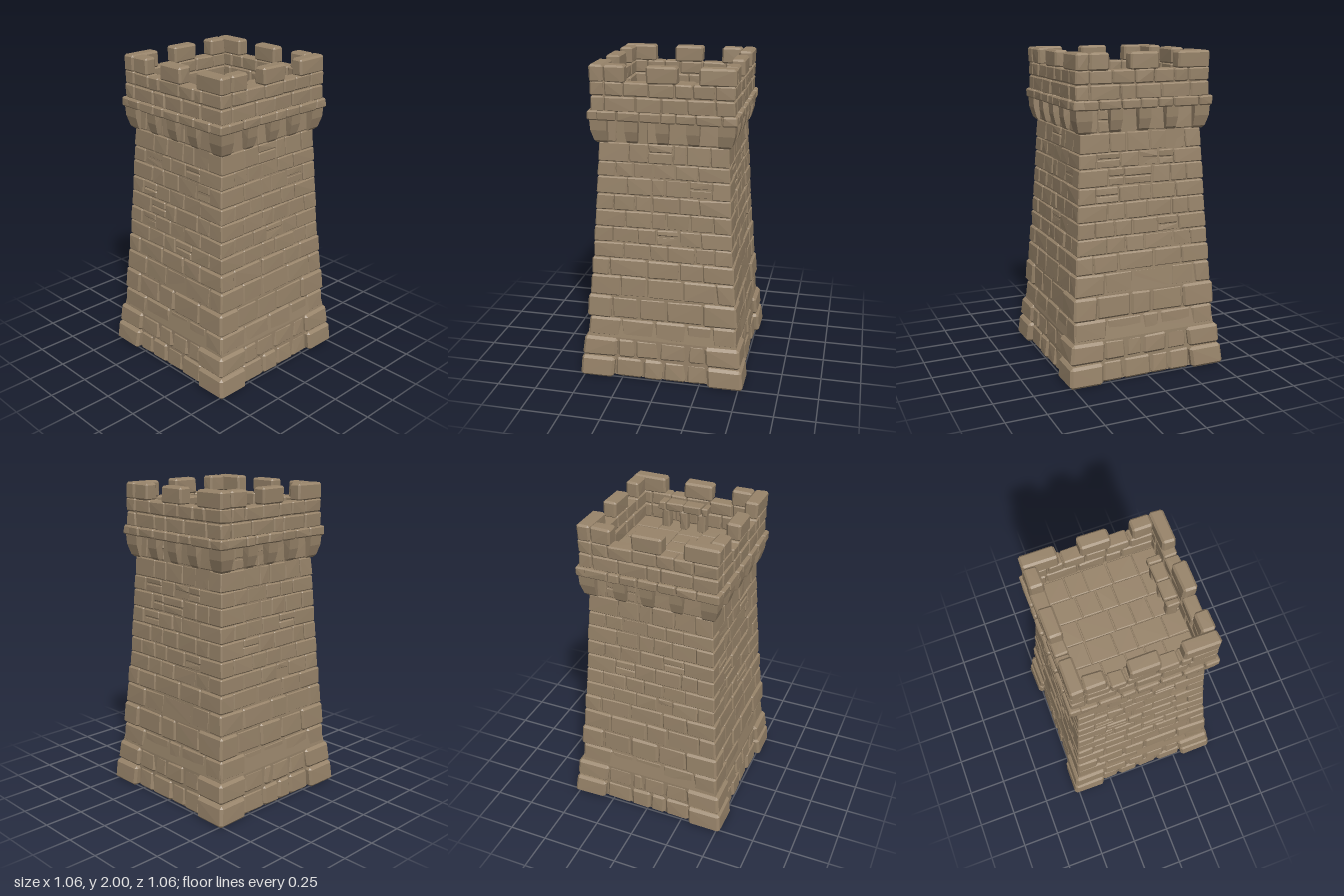
import * as THREE from 'three';
import { mergeGeometries } from 'three/addons/utils/BufferGeometryUtils.js';
import { ConvexGeometry } from 'three/addons/geometries/ConvexGeometry.js';

export function createModel() {
  const tower = new THREE.Group();
  tower.name = 'stoneTower';
  const sandstone = new THREE.MeshStandardMaterial({ color: 0x98846a });
  sandstone.name = 'sandstone';

  let seed = 7;
  const rand = () => (seed = (seed * 16807) % 2147483647) / 2147483647;
  const jit = (a) => (rand() * 2 - 1) * a;

  const add = (name, geos) => {
    const mesh = new THREE.Mesh(geos.length > 1 ? mergeGeometries(geos) : geos[0], sandstone);
    mesh.name = name;
    tower.add(mesh);
  };
  const turn = (geo, k) => geo.rotateY(k * Math.PI / 2);

  // Chamfered, slightly uneven block; leanX / leanZ tilt it inward with height
  function stone([x0, x1], [y0, y1], [z0, z1], bevel = 0.01, leanX = 0, leanZ = 0, rough = 0.003) {
    const pts = [], ym = (y0 + y1) / 2;
    for (const sx of [0, 1]) for (const sy of [0, 1]) for (const sz of [0, 1]) {
      const jx = jit(rough), jy = jit(rough * 0.6), jz = jit(rough);
      for (let axis = 0; axis < 3; axis++) {
        const inset = (s, a) => (a === axis ? 0 : s ? -bevel : bevel);
        const y = (sy ? y1 : y0) + inset(sy, 1) + jy;
        pts.push(new THREE.Vector3(
          (sx ? x1 : x0) + inset(sx, 0) + jx - leanX * (y - ym),
          Math.min(2, Math.max(0, y)),
          (sz ? z1 : z0) + inset(sz, 2) + jz - leanZ * (y - ym)));
      }
    }
    return new ConvexGeometry(pts);
  }

  // Splits a run into stones of uneven length
  function split(from, to, size) {
    const n = Math.max(1, Math.round((to - from) / size)), cuts = [from];
    for (let i = 1; i < n; i++) cuts.push(from + (to - from) * (i + jit(0.25)) / n);
    cuts.push(to);
    return cuts.slice(1).map((c, i) => [cuts[i] + 0.003, c - 0.003]);
  }

  // Tapered core behind the stones
  const profile = [[0, 0.005], [0.48, 0.005], [0.478, 0.27], [0.456, 0.4], [0.453, 0.55],
    [0.43, 0.8], [0.408, 1.1], [0.386, 1.53], [0.384, 1.69], [0, 1.69]];
  const core = new THREE.LatheGeometry(
    profile.map(([r, y]) => new THREE.Vector2(r * Math.SQRT2, y)), 4, Math.PI / 4).toNonIndexed();
  core.computeVertexNormals();
  add('wallCore', [core]);

  // Courses: bottom, top, corner half width, wall half width, stone length, bevel
  const courses = [
    [0, 0.135, 0.522, 0.493, 0.17, 0.016], [0.14, 0.268, 0.505, 0.487, 0.16, 0.016],
    [0.272, 0.398, 0.474, 0.468, 0.17, 0.013], [0.402, 0.548, 0.474, 0.464, 0.18, 0.013],
    [0.552, 0.683, 0.457, 0.452, 0.2, 0.01], [0.687, 0.798, 0.448, 0.443, 0.19, 0.009],
    [0.802, 0.9, 0.436, 0.432, 0.14, 0.007], [0.904, 1.0, 0.43, 0.426, 0.15, 0.007],
    [1.004, 1.107, 0.424, 0.419, 0.13, 0.007], [1.111, 1.208, 0.418, 0.413, 0.14, 0.007],
    [1.212, 1.318, 0.412, 0.406, 0.13, 0.007], [1.322, 1.41, 0.406, 0.4, 0.14, 0.006],
    [1.414, 1.53, 0.4, 0.394, 0.13, 0.006], [1.534, 1.67, 0.394, 0.388, 0.15, 0.006],
  ];
  const walls = [], corners = [];
  courses.forEach(([y0, y1, rc, rw, size, bevel], row) => {
    const lean = row < 2 ? 0.09 : 0.06;
    for (let k = 0; k < 4; k++) {
      // Long and short corner arms swap from course to course
      let arms = row % 2 ? [0.19, 0.11] : [0.11, 0.19];
      if (row < 2) arms = [0.22, 0.22];
      else if (row < 4) arms = row % 2 ? [0.21, 0.15] : [0.15, 0.21];
      corners.push(turn(stone([rc - arms[0], rc], [y0, y1], [rc - arms[1], rc], bevel, lean, lean), k));
      for (const run of split(-rc + arms[1], rc - arms[0], size)) {
        const proud = rw + jit(0.005);
        // Some stones are broken into two thinner ones
        const mid = y0 + (y1 - y0) * (0.5 + jit(0.1));
        const parts = row > 5 && rand() < 0.2 ? [[y0, mid - 0.002], [mid + 0.002, y1]] : [[y0, y1]];
        for (const ys of parts)
          walls.push(turn(stone(run, ys, [rw - 0.07, proud], bevel, 0, lean), k));
      }
    }
  });
  add('wallStones', walls);
  add('cornerStones', corners);

  // Corbels under the ledge, tapering down into the wall
  function corbel(x, w, z = 0, depth = 1) {
    const pts = [];
    for (const s of [-1, 1])
      for (const [d, y, t] of [[0.36, 1.535, 0.8], [0.405, 1.535, 0.75], [0.418, 1.55, 0.85],
        [0.434, 1.61, 1], [0.438, 1.68, 1], [0.36, 1.68, 1]])
        pts.push(new THREE.Vector3(x + s * w * t / 2, y, z + d * depth));
    return new ConvexGeometry(pts);
  }
  const corbels = [];
  for (let k = 0; k < 4; k++) {
    for (const x of [-0.185, 0, 0.185]) corbels.push(turn(corbel(x + jit(0.008), 0.078), k));
    const pts = [];
    for (const [r, y] of [[0.402, 1.53], [0.416, 1.545], [0.434, 1.61], [0.438, 1.68]])
      for (const [x, z] of [[r, r], [0.335, r], [r, 0.335], [0.335, 0.335]])
        pts.push(new THREE.Vector3(x, y, z));
    corbels.push(turn(new ConvexGeometry(pts), k));
  }
  add('corbels', corbels);

  // Ledge and parapet, each side running past one corner
  const ledge = [], parapet = [], merlons = [], backing = [];
  for (let k = 0; k < 4; k++) {
    for (const run of split(-0.395, 0.453, 0.125))
      ledge.push(turn(stone(run, [1.672, 1.73], [0.38, 0.453], 0.008), k));
    for (const [y0, y1, size] of [[1.725, 1.815, 0.15], [1.819, 1.9, 0.13]])
      for (const run of split(-0.347, 0.435, size))
        parapet.push(turn(stone(run, [y0, y1], [0.35, 0.434 + jit(0.004)], 0.008), k));
    for (const run of [[0.222, 0.435], [-0.092, 0.09], [-0.347, -0.222]])
      merlons.push(turn(stone(run, [1.895, 2], [0.35, 0.434], 0.012), k));
    backing.push(turn(new THREE.BoxGeometry(0.78, 0.17, 0.056).translate(0.03, 1.805, 0.392), k));
  }
  add('ledge', ledge);
  add('parapet', parapet);
  add('merlons', merlons);
  add('parapetCore', backing);

  // Roof floor with uneven paving
  add('floorSlab', [new THREE.BoxGeometry(0.86, 0.04, 0.86).translate(0, 1.695, 0)]);
  const paving = [];
  for (let i = 0; i < 5; i++) {
    const x = -0.355 + i * 0.142;
    for (const zs of split(-0.355, 0.355, 0.13))
      paving.push(stone([x + 0.002, x + 0.14], [1.68, 1.722 + jit(0.003)], zs, 0.004, 0, 0, 0.002));
  }
  add('paving', paving);

  // Low stone shelf on three supports, inside the front parapet
  const shelf = [[-0.1, -0.062], [-0.056, 0.06], [0.064, 0.176], [0.18, 0.225]]
    .map((run) => stone(run, [1.835, 1.89], [0.255, 0.335], 0.007));
  add('shelf', shelf);
  add('shelfSupports', [-0.06, 0.06, 0.18].map((x) =>
    stone([x - 0.025, x + 0.025], [1.715, 1.84], [0.265, 0.33], 0.008)));

  return tower;
}
